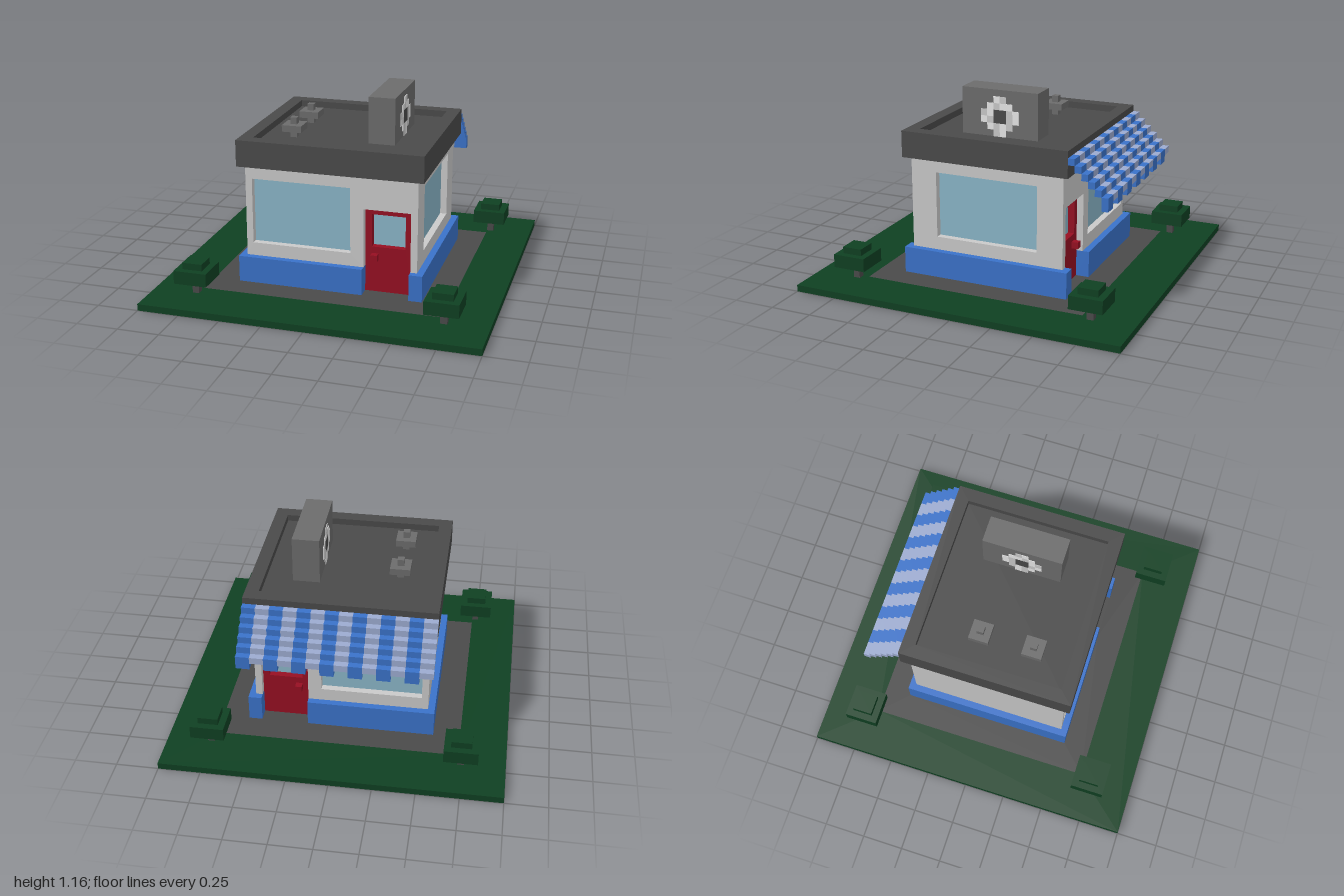
import * as THREE from 'three';

const mat = (name, color) => {
  const m = new THREE.MeshStandardMaterial({ color });
  m.name = name;
  return m;
};

export function createModel() {
  const green = mat('green', 0x0f4022);
  const asphalt = mat('asphalt', 0x4a4a4a);
  const steel = mat('steel', 0x6c6c6c);
  const plaster = mat('plaster', 0xc9c9c9);
  const blue = mat('blue', 0x3a72c9);
  const paleBlue = mat('paleBlue', 0x9cabd0);
  const red = mat('red', 0x960f22);
  const glass = mat('glass', 0x8ab6c8);
  const white = mat('white', 0xfafafa);

  const model = new THREE.Group();
  model.name = 'shop';

  const add = (parent, name, geo, material) => {
    const mesh = new THREE.Mesh(geo, material);
    mesh.name = name;
    parent.add(mesh);
    return mesh;
  };
  // box given by its extents on each axis
  const box = (parent, name, material, [x0, x1], [y0, y1], [z0, z1]) => {
    const geo = new THREE.BoxGeometry(x1 - x0, y1 - y0, z1 - z0);
    geo.translate((x0 + x1) / 2, (y0 + y1) / 2, (z0 + z1) / 2);
    return add(parent, name, geo, material);
  };
  const group = (name) => {
    const g = new THREE.Group();
    g.name = name;
    model.add(g);
    return g;
  };
  const poly = (pts) => pts.map(([x, y]) => new THREE.Vector2(x, y));
  const rect = (x0, x1, y0, y1) => poly([[x0, y0], [x1, y0], [x1, y1], [x0, y1]]);
  const extrude = (outline, holes, depth) => {
    const shape = new THREE.Shape(outline);
    holes.forEach((h) => shape.holes.push(new THREE.Path(h)));
    return new THREE.ExtrudeGeometry(shape, { depth, bevelEnabled: false });
  };
  // flat slab lying in the ground plane
  const slab = (outline, holes, y, depth) =>
    extrude(outline, holes, depth).rotateX(-Math.PI / 2).translate(0, y, 0);

  // ground: lawn, paved ring and inner floor, all flush
  const ground = group('ground');
  const paving = rect(-0.72, 0.72, -0.68, 0.68);
  const footprint = poly([
    [-0.56, -0.52], [0.2, -0.52], [0.2, -0.44], [0.48, -0.44], [0.48, -0.52], [0.56, -0.52],
    [0.56, 0.52], [0.48, 0.52], [0.48, 0.44], [0.2, 0.44], [0.2, 0.52], [-0.56, 0.52],
  ]);
  add(ground, 'lawn', slab(rect(-1, 1, -1, 1), [paving], 0, 0.04), green);
  add(ground, 'pavement', slab(paving, [footprint], 0, 0.04), asphalt);
  add(ground, 'floor', slab(footprint, [], 0, 0.04), green);

  // front and back facades share one layout; z is mirrored by s
  const facadeOutline = poly([
    [-0.52, 0.2], [0.2, 0.2], [0.2, 0.56], [0.48, 0.56], [0.48, 0.2], [0.52, 0.2],
    [0.52, 0.76], [-0.52, 0.76],
  ]);
  for (const s of [1, -1]) {
    const side = group(s > 0 ? 'frontFacade' : 'backFacade');
    const zr = (a, b) => (s > 0 ? [a, b] : [-b, -a]);
    const plate = (name, outline, holes, material, z) =>
      add(side, name, extrude(outline, holes, 0.04).translate(0, 0, zr(z, z + 0.04)[0]), material);

    plate('wall', facadeOutline, [rect(-0.48, 0.12, 0.28, 0.68)], plaster, 0.44);
    box(side, 'window', glass, [-0.5, 0.14], [0.26, 0.7], zr(0.4, 0.44));
    plate('door', rect(0.2, 0.48, 0.04, 0.56), [rect(0.24, 0.44, 0.32, 0.52)], red, 0.4);
    box(side, 'doorWindow', glass, [0.22, 0.46], [0.3, 0.54], zr(0.36, 0.4));
    box(side, 'doorKnob', red, [0.24, 0.28], [0.24, 0.28], zr(0.44, 0.48));
    box(side, 'plinth', blue, [-0.48, 0.2], [0.04, 0.2], zr(0.44, 0.52));
  }

  // side walls: one with a window, one plain
  const sides = group('sideWalls');
  const windowWall = extrude(rect(-0.44, 0.44, 0.2, 0.76), [rect(-0.32, 0.32, 0.28, 0.68)], 0.04);
  add(sides, 'windowWall', windowWall.rotateY(Math.PI / 2).translate(0.48, 0, 0), plaster);
  box(sides, 'sideWindow', glass, [0.44, 0.48], [0.26, 0.7], [-0.34, 0.34]);
  box(sides, 'plainWall', plaster, [-0.52, -0.48], [0.2, 0.76], [-0.44, 0.44]);
  box(sides, 'leftPlinth', blue, [0.48, 0.56], [0.04, 0.2], [-0.52, 0.52]);
  box(sides, 'rightPlinth', blue, [-0.56, -0.48], [0.04, 0.2], [-0.52, 0.52]);

  // roof with raised rim
  const roof = group('roof');
  const rimInner = rect(-0.48, 0.48, -0.44, 0.44);
  add(roof, 'rim', slab(rect(-0.56, 0.56, -0.52, 0.52), [rimInner], 0.76, 0.16), asphalt);
  box(roof, 'deck', asphalt, [-0.48, 0.48], [0.76, 0.88], [-0.44, 0.44]);

  // roof vents: stem, cap and knob
  for (const z of [-0.1, 0.22]) {
    const vent = group('roofVent');
    box(vent, 'ventStem', steel, [-0.32, -0.28], [0.88, 0.92], [z - 0.02, z + 0.02]);
    box(vent, 'ventCap', steel, [-0.36, -0.24], [0.92, 0.96], [z - 0.06, z + 0.06]);
    box(vent, 'ventKnob', steel, [-0.32, -0.28], [0.96, 1], [z - 0.02, z + 0.02]);
  }

  // rooftop block with a tiled ring on both faces
  const sign = group('roofBlock');
  box(sign, 'block', steel, [0.16, 0.32], [0.88, 1.16], [-0.24, 0.24]);
  const tiles = { W: white, G: plaster, D: asphalt };
  const ring = ['..WG..', '.WGWW.', 'GWDDGW', 'WGDDGW', '.WGWG.', '..GW..'];
  ring.forEach((row, r) => [...row].forEach((key, c) => {
    if (!tiles[key]) return;
    const y = 1.08 - r * 0.04;
    const z = 0.08 - c * 0.04;
    for (const x of [0.157, 0.319]) {
      box(sign, 'ringTile', tiles[key], [x, x + 0.004], [y, y + 0.04], [z, z + 0.04]);
    }
  }));

  // stepped striped awning over the back
  const awning = group('awning');
  for (let i = 0; i < 14; i++) {
    const x = -0.56 + i * 0.08;
    const isBlue = i % 2 === 1;
    for (let k = 0; k < 6; k++) {
      const top = 0.88 - k * 0.04;
      const drop = k === 5 && isBlue ? 0.08 : 0.04;
      const z = -0.56 - k * 0.04;
      box(awning, 'awningStep', isBlue ? blue : paleBlue,
        [x, x + 0.08], [top - drop, top], [z, z + 0.04]);
    }
  }

  // corner trees
  for (const sx of [-1, 1]) for (const sz of [-1, 1]) {
    const tree = group('tree');
    const around = (c, h) => [c - h, c + h];
    const layer = (name, m, h, y) =>
      box(tree, name, m, around(sx * 0.74, h), y, around(sz * 0.74, h));
    layer('trunk', asphalt, 0.02, [0.04, 0.12]);
    layer('crown', green, 0.1, [0.12, 0.2]);
    layer('crownTop', green, 0.06, [0.2, 0.24]);
  }

  return model;
}
